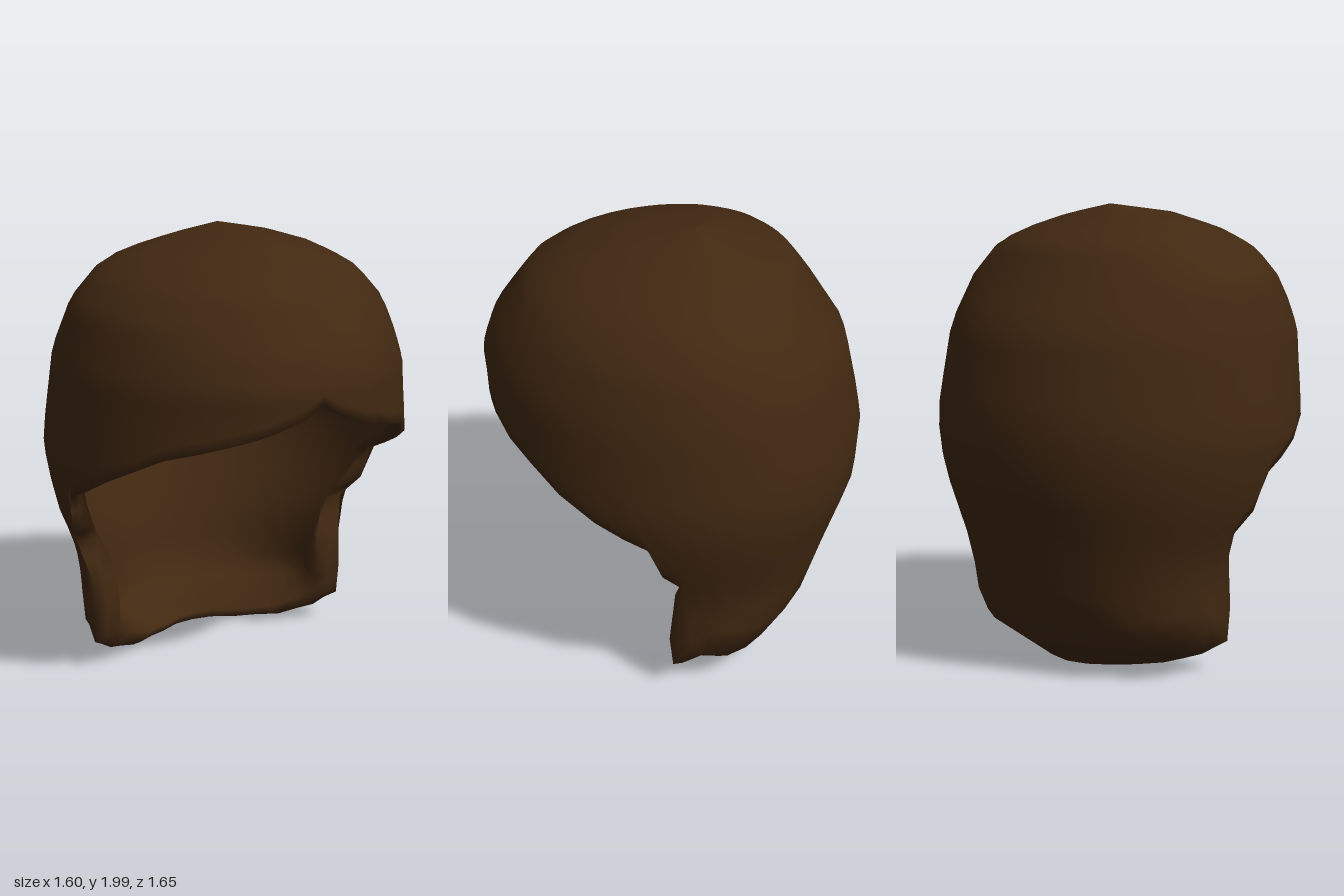
import * as THREE from 'three';
import { mergeVertices } from 'three/addons/utils/BufferGeometryUtils.js';

const { lerp, smoothstep, degToRad, clamp } = THREE.MathUtils;

// Piecewise-linear lookup in a table of [height, value], highest first
function lookup(table, y) {
  for (let i = 1; i < table.length; i++) {
    const [y0, v0] = table[i - 1], [y1, v1] = table[i];
    if (y >= y1) return lerp(v0, v1, clamp((y0 - y) / (y0 - y1), 0, 1));
  }
  return table[table.length - 1][1];
}

// Cross-section sizes by height: half width, front depth, back depth, centre line
const WIDTH = [[2, 0], [1.955, 0.23], [1.9, 0.41], [1.82, 0.565], [1.69, 0.68], [1.45, 0.757],
  [1.2, 0.787], [1.04, 0.803], [0.88, 0.775], [0.73, 0.74], [0.61, 0.685], [0.46, 0.642], [0.15, 0.637],
  [0.085, 0.54], [0.035, 0.41], [0.015, 0.3], [0.01, 0.25]];
const FRONT = [[2, -0.09], [1.96, 0.25], [1.88, 0.48], [1.79, 0.63], [1.68, 0.71], [1.58, 0.78], [1.45, 0.825],
  [1.33, 0.815], [0, 0.8]];
const BACK = [[2, -0.09], [1.96, -0.2], [1.85, -0.5], [1.5, -0.74], [1.13, -0.825], [0.88, -0.815],
  [0.46, -0.685], [0.28, -0.635], [0.12, -0.52], [0.01, -0.39]];
const CENTRE = [[2, -0.09], [1.9, -0.05], [0.73, -0.05], [0.46, -0.1], [0, -0.1]];

// Hairline from forehead to nape: [angle at rim, height, angle at crown]
const RIM = [[0, 1.39, 0], [7, 1.33, 8], [17, 1.28, 17], [26, 1.245, 26], [47, 1.165, 42], [70, 1, 58],
  [87, 0.88, 72], [89, 0.73, 82], [95, 0.62, 94], [88, 0.46, 108], [87, 0.3, 116], [88, 0.15, 124],
  [93, 0.085, 134], [108, 0.035, 146], [136, 0.015, 162], [180, 0.01, 180]];

function surfacePoint(angle, y) {
  const a = degToRad(angle), c = lookup(CENTRE, y);
  const reach = Math.cos(a) > 0 ? lookup(FRONT, y) - c : c - lookup(BACK, y);
  return new THREE.Vector3(lookup(WIDTH, y) * Math.sin(a), y, c + reach * Math.cos(a));
}

// Moves a point of the outside towards the inside; the hair is thicker at the nape
function inward(p, amount, drop) {
  const scale = lerp(1, lerp(0.81, 0.92, smoothstep(p.y, 0.4, 1)), amount);
  const lift = 0.06 * amount ** 2 * (1 - smoothstep(p.y, 0.1, 0.3));
  return new THREE.Vector3(p.x * scale, p.y + lift - drop, -0.05 + (p.z + 0.05) * scale);
}

function hairGeometry() {
  const steps = 24, split = 2, strands = [];
  for (let i = 0; i < RIM.length - 1; i++) {
    for (let k = 0; k < split; k++) strands.push(RIM[i].map((v, j) => lerp(v, RIM[i + 1][j], k / split)));
  }
  strands.push(RIM[RIM.length - 1]);

  // One strand line: down the outside, round the rim, up the inside
  const column = ([angle, rimY, crownAngle]) => {
    const outer = [];
    for (let s = 0; s <= steps; s++) {
      const t = s / steps;
      const y = 2 - (2 - rimY) * (1 - Math.cos(t * Math.PI / 2));
      outer.push(surfacePoint(lerp(crownAngle, angle, t ** 6), y));
    }
    const inner = outer.map((p, s) => inward(p, 1, 0.08 * (1 - s / steps))).reverse();
    return [...outer, inward(outer[steps], 0.45, 0), ...inner];
  };

  // Left half, then its mirror, closed into a loop
  const half = strands.map(column);
  const mirrored = half.slice(1, -1).reverse().map(col => col.map(p => new THREE.Vector3(-p.x, p.y, p.z)));
  const columns = [...half, ...mirrored];
  const rows = columns[0].length, positions = [], index = [];
  columns.forEach((col, c) => {
    const next = (c + 1) % columns.length;
    col.forEach((p, r) => {
      positions.push(p.x, p.y, p.z);
      if (r === rows - 1) return;
      const a = c * rows + r, d = next * rows + r;
      index.push(a, a + 1, d + 1, a, d + 1, d);
    });
  });
  const geometry = new THREE.BufferGeometry();
  geometry.setAttribute('position', new THREE.Float32BufferAttribute(positions, 3));
  geometry.setIndex(index);
  const merged = mergeVertices(geometry, 1e-4);
  merged.computeVertexNormals();
  return merged;
}

export function createModel() {
  const group = new THREE.Group();
  group.name = 'hairpiece';
  const hair = new THREE.Mesh(hairGeometry(), new THREE.MeshStandardMaterial({ color: 0x412811 }));
  hair.name = 'hair';
  group.add(hair);
  return group;
}
